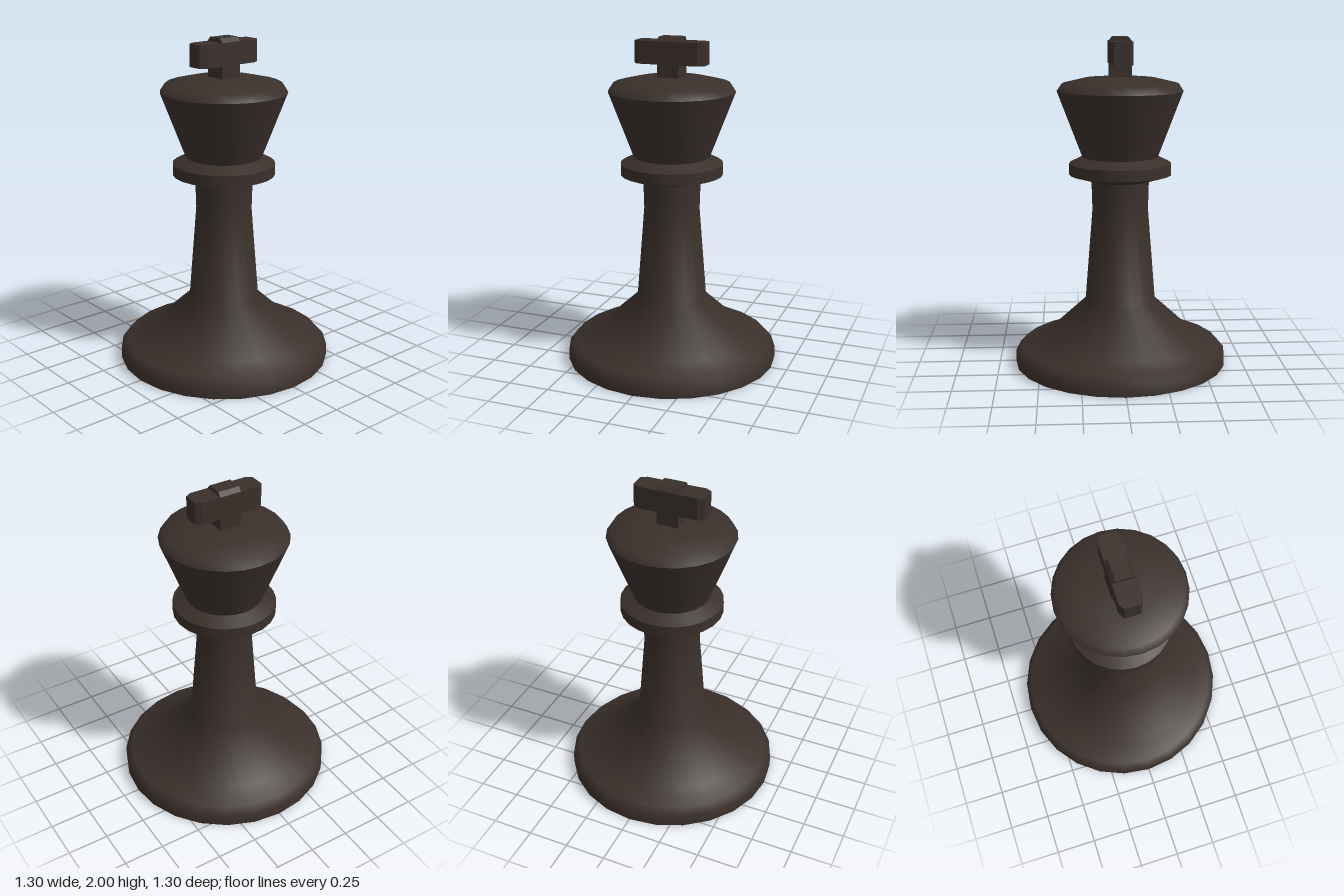
import * as THREE from 'three';

const material = new THREE.MeshStandardMaterial({ color: 0x3a302b });

export function createModel() {
  const model = new THREE.Group();

  const add = (name, geometry, parent = model) => {
    const mesh = new THREE.Mesh(geometry, material);
    mesh.name = name;
    parent.add(mesh);
  };

  // Turned section: smooth within one profile, sharp where two sections meet
  const turned = (name, profile, parent) =>
    add(name, new THREE.LatheGeometry(profile.map(([r, y]) => new THREE.Vector2(r, y)), 24), parent);

  const group = (name) => {
    const g = new THREE.Group();
    g.name = name;
    model.add(g);
    return g;
  };

  // Base and tapering shaft
  turned('baseUnderside', [[0, 0], [0.65, 0]]);
  turned('baseAndShaft', [
    [0.65, 0], [0.65, 0.07], [0.61, 0.115], [0.48, 0.15],
    [0.215, 0.395], [0.17, 0.96], [0.175, 1.14],
  ]);

  // Collar ring
  const collar = group('collar');
  turned('collarUnderside', [[0.165, 1.135], [0.31, 1.177]].map(([r, y]) => [r, y]), collar);
  turned('collarRim', [[0.31, 1.177], [0.31, 1.245]], collar);
  turned('collarTop', [[0.31, 1.245], [0.23, 1.285]], collar);

  // Flared head with a shallow dome
  const head = group('head');
  turned('headWall', [[0.23, 1.285], [0.38, 1.68]], head);
  turned('headDome', [[0.38, 1.68], [0.35, 1.725], [0.215, 1.757], [0, 1.77]], head);

  // Cross: bevelled upright and an arm running front to back
  const cross = group('cross');
  const extrude = (points, depth) => new THREE.ExtrudeGeometry(
    new THREE.Shape(points.map(([x, y]) => new THREE.Vector2(x, y))),
    { depth, bevelEnabled: false });

  add('crossUpright', extrude([
    [-0.067, 1.74], [0.067, 1.74], [0.067, 1.975], [0.046, 2], [-0.046, 2], [-0.067, 1.975],
  ], 0.134).translate(0, 0, -0.067), cross);

  add('crossArm', extrude([
    [-0.046, -0.217], [0.046, -0.217], [0.067, -0.18], [0.067, 0.18],
    [0.046, 0.217], [-0.046, 0.217], [-0.067, 0.18], [-0.067, -0.18],
  ], 0.135).rotateX(Math.PI / 2).translate(0, 1.975, 0), cross);

  return model;
}
